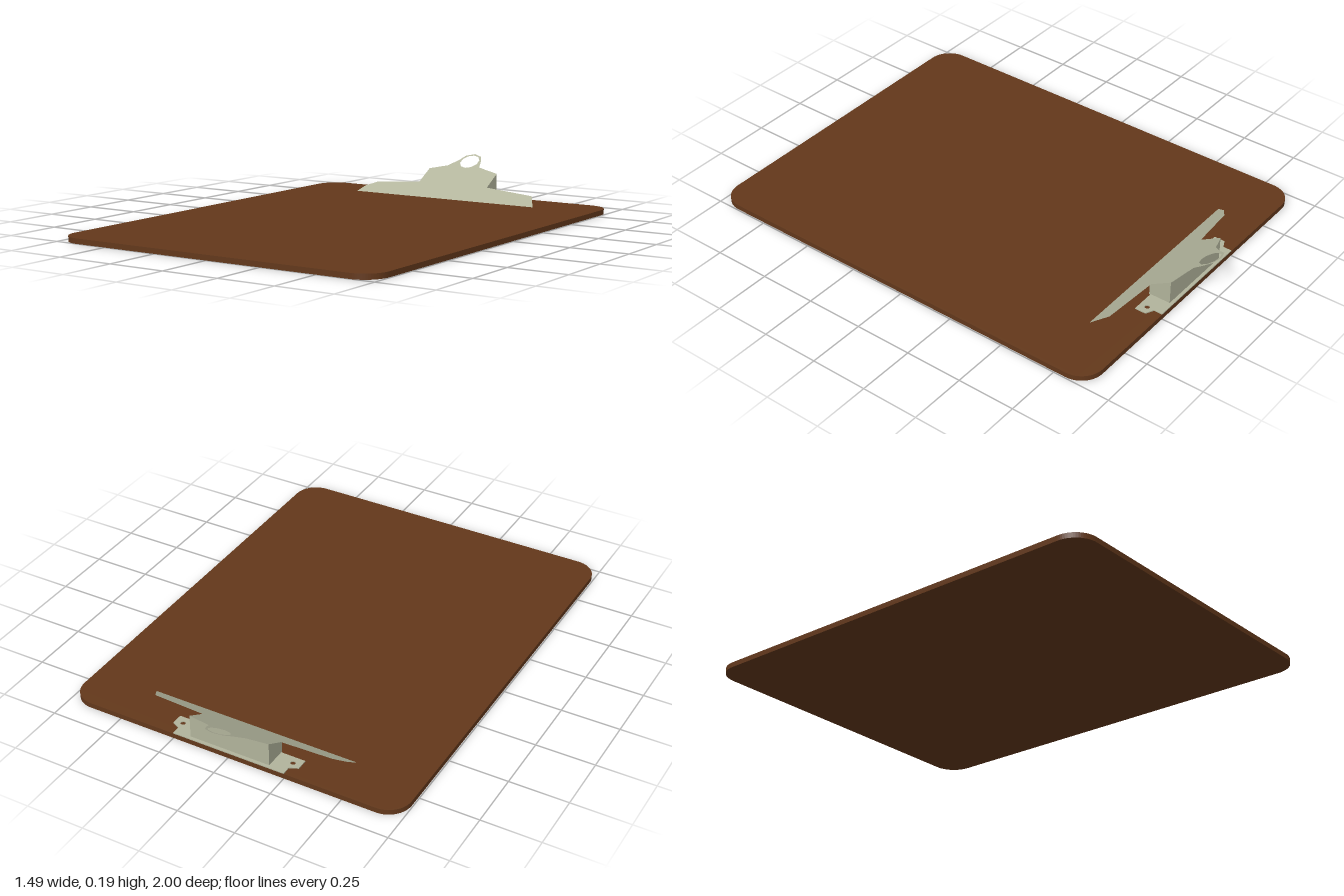
import * as THREE from 'three';

const TOP = 0.022; // upper face of the board
const SLOPE = 0.586; // rise of the clip plate towards the back
const plateY = (z) => TOP + (-0.705 - z) * SLOPE;

const wood = new THREE.MeshStandardMaterial({ color: 0x63381b });
const metal = new THREE.MeshStandardMaterial({ color: 0xb2b49c, side: THREE.DoubleSide });

function add(group, name, geometry, material) {
  const mesh = new THREE.Mesh(geometry, material);
  mesh.name = name;
  group.add(mesh);
  return mesh;
}

// Shape from [x, z] pairs; the shape's y holds -z
const planShape = (points) => new THREE.Shape(points.map(([x, z]) => new THREE.Vector2(x, -z)));

function ovalHole(x, z, rx, rz, sides) {
  const points = [];
  for (let i = 0; i < sides; i++) {
    const a = -(i + 0.5) / sides * Math.PI * 2;
    points.push(new THREE.Vector2(x + Math.cos(a) * rx, -z + Math.sin(a) * rz));
  }
  return new THREE.Path(points);
}

function roundedBoard(w, z0, z1, r) {
  const s = new THREE.Shape();
  const corners = [[w - r, -z1 + r, -90], [w - r, -z0 - r, 0], [-w + r, -z0 - r, 90], [-w + r, -z1 + r, 180]];
  for (const [x, y, deg] of corners) {
    const a = THREE.MathUtils.degToRad(deg);
    s.absarc(x, y, r, a, a + Math.PI / 2, false);
  }
  s.closePath();
  return new THREE.ExtrudeGeometry(s, { depth: TOP, bevelEnabled: false, curveSegments: 8 }).rotateX(-Math.PI / 2);
}

export function createModel() {
  const model = new THREE.Group();
  model.name = 'clipboard';
  add(model, 'board', roundedBoard(0.745, -0.9, 1, 0.1), wood);

  const clip = new THREE.Group();
  clip.name = 'clip';
  model.add(clip);

  // Sloping sheet with wide jaw, raised shoulders and a hanging ring
  const outline = planShape([
    [-0.46, -0.705], [0.46, -0.705], [0.42, -0.77], [0.178, -0.797], [0.178, -0.887],
    [0.1, -0.908], [0.068, -0.918], [0.058, -0.95], [0.04, -0.985], [0, -1],
    [-0.04, -0.986], [-0.06, -0.954], [-0.096, -0.915], [-0.178, -0.887],
    [-0.178, -0.797], [-0.39, -0.775], [-0.44, -0.743],
  ]);
  outline.holes.push(ovalHole(0, -0.949, 0.046, 0.041, 10));
  const sheet = new THREE.ShapeGeometry(outline).rotateX(-Math.PI / 2);
  const pos = sheet.attributes.position;
  for (let i = 0; i < pos.count; i++) pos.setY(i, plateY(pos.getZ(i)));
  sheet.computeVertexNormals();
  add(clip, 'clipPlate', sheet, metal);

  // Walls that hold the plate above the board
  const front = -0.79, back = -0.886, half = 0.178;
  const sideShape = new THREE.Shape([
    new THREE.Vector2(-front, TOP), new THREE.Vector2(-back, TOP),
    new THREE.Vector2(-back, plateY(back)), new THREE.Vector2(-front, plateY(front)),
  ]);
  for (const side of [-1, 1]) {
    const wall = add(clip, side > 0 ? 'leftWall' : 'rightWall', new THREE.ShapeGeometry(sideShape), metal);
    wall.rotation.y = Math.PI / 2;
    wall.position.x = side * half;
  }
  const height = plateY(back) - TOP;
  const backWall = add(clip, 'backWall', new THREE.PlaneGeometry(half * 2, height), metal);
  backWall.rotation.y = Math.PI;
  backWall.position.set(0, TOP + height / 2, back);

  // Base sheet with a notched, drilled tab on each side
  const base = planShape([
    [-0.285, -0.797], [0.285, -0.797], [0.285, -0.845], [0.25, -0.862], [0.25, -0.9],
    [-0.25, -0.9], [-0.25, -0.862], [-0.285, -0.845],
  ]);
  for (const x of [-0.25, 0.25]) base.holes.push(ovalHole(x, -0.83, 0.011, 0.011, 8));
  const baseGeometry = new THREE.ExtrudeGeometry(base, { depth: 0.004, bevelEnabled: false }).rotateX(-Math.PI / 2);
  add(clip, 'clipBase', baseGeometry, metal).position.y = TOP;

  return model;
}
